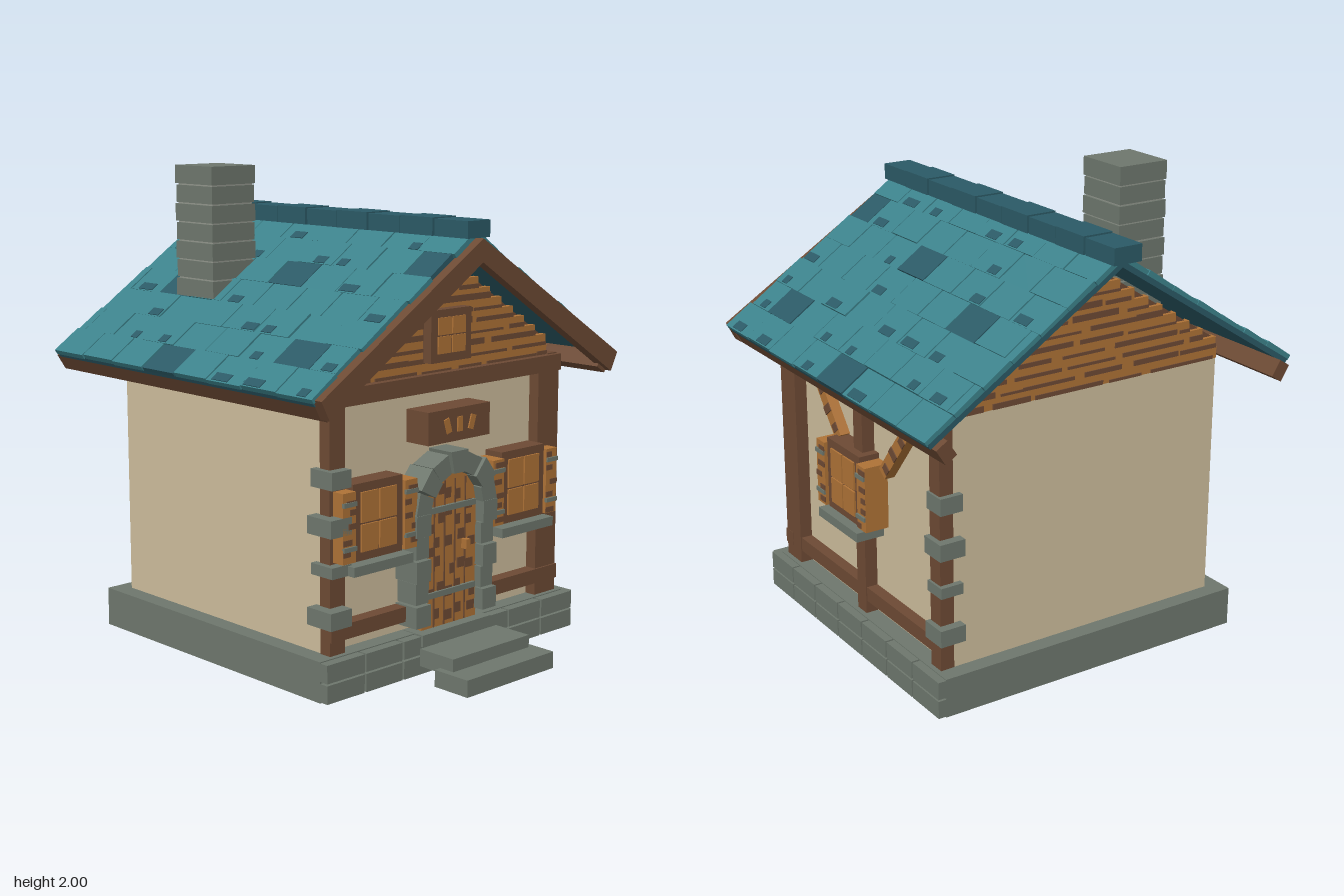
import * as THREE from 'three';

const mat = (name, color, extra = {}) => Object.assign(new THREE.MeshStandardMaterial({ color, ...extra }), { name });

export function createModel() {
  const M = {
    plaster: mat('cream plaster', 0xcdbd9c),
    stone: mat('grey stone', 0x6e776d),
    timber: mat('dark timber', 0x6d4a34),
    plank: mat('orange plank', 0xae7236),
    tile: mat('teal tile', 0x3c828b),
    darkTile: mat('dark teal tile', 0x2b5a66),
    mortar: mat('pale mortar', 0x92968d),
  };
  let seed = 11;
  const rnd = () => (seed = (seed * 16807) % 2147483647) / 2147483647;

  const model = new THREE.Group();
  const group = (name, parent = model) => {
    const g = new THREE.Group();
    g.name = name;
    parent.add(g);
    return g;
  };
  // box given by its min and max on each axis
  const box = (p, name, m, x0, x1, y0, y1, z0, z1) => {
    const b = new THREE.Mesh(new THREE.BoxGeometry(x1 - x0, y1 - y0, z1 - z0), m);
    b.position.set((x0 + x1) / 2, (y0 + y1) / 2, (z0 + z1) / 2);
    b.name = name;
    p.add(b);
    return b;
  };
  const extrude = (p, name, m, pts, z0, z1) => {
    const g = new THREE.ExtrudeGeometry(Array.isArray(pts) ? new THREE.Shape(pts.map(a => new THREE.Vector2(...a))) : pts,
      { depth: z1 - z0, bevelEnabled: false, curveSegments: 12 });
    const e = new THREE.Mesh(g.translate(0, 0, z0), m);
    e.name = name;
    p.add(e);
    return e;
  };
  // thin dark grain patches on a plank front
  const grain = (p, x0, x1, y0, y1, z, n) => {
    for (let i = 0; i < n; i++) {
      const h = (y1 - y0) / n, w = (x1 - x0) * (0.45 + rnd() * 0.35);
      const a = rnd() < 0.5 ? x0 : x1 - w, b = y0 + h * (i + rnd() * 0.5);
      box(p, 'woodGrain', M.timber, a, a + w, b, b + h * 0.42, z, z + 0.004);
    }
  };

  // Foundation: plain slab, with two brick courses on front and right
  const base = group('foundation');
  box(base, 'foundationSlab', M.stone, -0.71, 0.71, 0, 0.165, -0.78, 0.59);
  for (let r = 0; r < 2; r++) {
    const y0 = 0.005 + r * 0.082, y1 = y0 + 0.074;
    for (let i = 0; i < 7; i++) {
      const x = -0.71 + i * 0.2078;
      box(base, 'frontBrick', M.stone, x, x + 0.198, y0, y1, 0.59, 0.63);
      const z = -0.78 + i * 0.2014;
      box(base, 'sideBrick', M.stone, 0.71, 0.745, y0, y1, z, z + 0.192);
    }
  }
  const steps = group('steps');
  box(steps, 'lowerStep', M.stone, -0.255, 0.255, 0, 0.07, 0.76, 0.935);
  box(steps, 'upperStep', M.stone, -0.225, 0.225, 0.05, 0.122, 0.65, 0.83);
  box(steps, 'doorstep', M.stone, -0.2, 0.2, 0.12, 0.168, 0.53, 0.64);

  // Walls with the gable core above
  box(model, 'walls', M.plaster, -0.635, 0.635, 0.165, 1.2, -0.71, 0.52);
  extrude(model, 'gableCore', M.timber, [[-0.635, 1.19], [0.635, 1.19], [0.635, 1.28], [0, 1.69], [-0.635, 1.28]], -0.7, 0.52);

  // Timber frame on the front and right
  const frame = group('timberFrame');
  for (const x of [-0.64, 0.56]) box(frame, 'frontPost', M.timber, x, x + 0.08, 0.165, 1.14, 0.515, 0.57);
  for (const [a, b] of [[0.445, 0.57], [-0.13, -0.06], [-0.712, -0.64]])
    box(frame, 'sidePost', M.timber, 0.63, 0.69, 0.165, 1.17, a, b);
  box(frame, 'frontLowerBeam', M.timber, -0.64, 0.692, 0.22, 0.282, 0.515, 0.578);
  box(frame, 'sideLowerBeam', M.timber, 0.63, 0.685, 0.22, 0.282, -0.7, 0.56);
  box(frame, 'frontUpperBeam', M.timber, -0.67, 0.692, 1.135, 1.205, 0.515, 0.58);
  box(frame, 'sideUpperBeam', M.timber, 0.63, 0.685, 1.135, 1.21, -0.71, 0.56);

  // Diagonal braces on the right wall
  for (const [z0, y0, z1, y1] of [[0.31, 1.14, 0.09, 0.87], [-0.51, 1.14, -0.265, 0.835]]) {
    const len = Math.hypot(z1 - z0, y1 - y0), g = group('brace');
    g.position.set(0.635, (y0 + y1) / 2, (z0 + z1) / 2);
    g.rotation.x = Math.atan2(z0 - z1, y0 - y1);
    box(g, 'bracePlank', M.plank, 0, 0.045, -len / 2, len / 2, -0.027, 0.027);
    for (let i = 0; i < 4; i++) {
      const y = -len / 2 + len * (i + 0.3) / 4;
      box(g, 'woodGrain', M.timber, 0.045, 0.049, y, y + 0.035, -0.027, i % 2 ? 0.027 : 0.012);
    }
  }

  // Stepped gable planks, front and back
  const gable = (name, z) => {
    const g = group(name);
    for (let i = 0; i < 10; i++) {
      const y = 1.2 + i * 0.046, w = Math.min(0.635, (1.675 - y - 0.02) / 0.65);
      box(g, 'gablePlank', M.plank, -w, w, y, y + 0.046, z, z + 0.03);
      for (let x = -w; x < w - 0.03;) {
        const e = Math.min(w, x + 0.1 + rnd() * 0.25), h = 0.01 + rnd() * 0.016;
        box(g, 'woodGrain', M.timber, x, e, y, y + h, z + 0.03, z + 0.034);
        x = e + rnd() * 0.06;
      }
    }
    return g;
  };
  gable('frontGable', 0.515);
  gable('backGable', 0.685).rotation.y = Math.PI;

  // Small gable window and fan plaque
  const attic = group('atticWindow');
  box(attic, 'atticFrame', M.timber, -0.115, 0.115, 1.25, 1.46, 0.53, 0.59);
  for (const x of [-0.078, 0.004]) for (const y of [1.285, 1.36])
    box(attic, 'atticPane', M.plank, x, x + 0.074, y, y + 0.069, 0.59, 0.596);
  const plaque = group('plaque');
  box(plaque, 'plaqueBoard', M.timber, -0.178, 0.178, 0.937, 1.07, 0.52, 0.64);
  for (const i of [-1, 0, 1]) {
    const s = box(plaque, 'plaqueSlat', M.plank, -0.014, 0.014, -0.03, 0.03, 0, 0.006);
    s.position.set(i * 0.07, 1.004, 0.643);
    s.rotation.z = -i * 0.3;
  }

  // Shuttered windows, facing local +z from the wall
  const shutteredWindow = (x, y, z, ry) => {
    const g = group('window');
    g.position.set(x, y, z);
    g.rotation.y = ry;
    box(g, 'windowFrame', M.timber, -0.133, 0.133, -0.153, 0.153, -0.01, 0.09);
    for (const a of [-0.095, 0.004]) for (const [b, c] of [[-0.118, -0.01], [-0.002, 0.118]])
      box(g, 'windowPane', M.plank, a, a + 0.091, b, c, 0.09, 0.098);
    for (const s of [-1, 1]) {
      const a = s < 0 ? -0.2 : 0.133;
      box(g, 'shutter', M.plank, a, a + 0.067, -0.148, 0.13, 0, 0.105);
      grain(g, a, a + 0.067, -0.145, 0.125, 0.105, 5);
      for (const h of [-0.1, 0.075]) box(g, 'hinge', M.stone, a, a + 0.067, h, h + 0.018, 0.1, 0.113);
    }
    box(g, 'windowSill', M.stone, -0.16, 0.16, -0.2, -0.161, -0.01, 0.125);
  };
  for (const s of [-1, 1]) shutteredWindow(s * 0.4225, 0.685, 0.52, 0);
  shutteredWindow(0.635, 0.727, -0.032, Math.PI / 2);

  // Arched door
  const door = group('door'), cy = 0.655;
  const leaf = new THREE.Shape();
  leaf.moveTo(-0.16, 0.165).lineTo(0.16, 0.165).lineTo(0.16, cy);
  leaf.absarc(0, cy, 0.16, 0, Math.PI, false);
  extrude(door, 'doorLeaf', M.plank, leaf, 0.515, 0.592);
  for (let i = 0; i < 5; i++) {
    const x = -0.15 + i * 0.06;
    grain(door, x, x + 0.056, 0.17, i % 4 ? 0.78 : 0.71, 0.592, 6);
    if (i) box(door, 'doorGroove', M.timber, x - 0.005, x, 0.17, 0.77, 0.592, 0.597);
  }
  for (const y of [0.295, 0.645]) box(door, 'doorStrap', M.stone, -0.145, 0.14, y, y + 0.024, 0.59, 0.606);
  box(door, 'doorHandle', M.plank, 0.07, 0.095, 0.47, 0.51, 0.59, 0.62);

  // Stone surround: jamb blocks and arch wedges
  const arch = group('doorSurround');
  for (const s of [-1, 1]) for (let i = 0; i < 5; i++) {
    const y = 0.2 + i * 0.093, w = i % 2 ? 0.225 : 0.235, a = s * 0.153, b = s * w;
    box(arch, 'jambStone', M.stone, Math.min(a, b), Math.max(a, b), y, y + 0.088, 0.515, i % 2 ? 0.625 : 0.638);
  }
  for (let i = 0; i < 7; i++) {
    const t0 = Math.PI * (i + 0.04) / 7, t1 = Math.PI * (i + 0.96) / 7, R = i % 2 ? 0.245 : 0.235;
    const at = (r, t) => [r * Math.cos(t), cy + r * Math.sin(t)];
    extrude(arch, 'archStone', M.stone, [at(0.153, t0), at(R, t0), at(R, t1), at(0.153, t1)], 0.515, i % 2 ? 0.645 : 0.635);
  }

  // Corner stones at front left and back right
  const quoins = group('cornerStones');
  [[0.83, 0.9, 0], [0.65, 0.72, 1], [0.485, 0.53, 0], [0.288, 0.358, 1]].forEach(([a, b, k]) => {
    box(quoins, 'frontLeftStone', M.stone, -0.665 - k * 0.02, -0.565 - k * 0.01, a, b, 0.49, 0.61 + k * 0.015);
    box(quoins, 'backRightStone', M.stone, 0.6, 0.7 + k * 0.012, a, b, -0.735 - k * 0.015, -0.635);
  });

  // Roof: two tiled slopes
  const roof = group('roof'), slope = Math.atan2(0.55, 0.86), pitch = 0.1462;
  const darkTiles = ['0,3', '1,6', '3,1', '4,4', '5,7'];
  for (const s of [-1, 1]) {
    const g = group('roofSlope', roof);
    g.position.set(0, 1.762, 0);
    g.rotation.z = -s * slope;
    const bx = (name, m, a, b, y0, y1, z0, z1) => box(g, name, m, Math.min(s * a, s * b), Math.max(s * a, s * b), y0, y1, z0, z1);
    bx('roofDeck', M.darkTile, 0, 1.018, -0.03, -0.008, -0.9, 0.71);
    for (let r = 0; r < 7; r++) {
      const end = 1.024 - r * pitch, shift = r % 2 ? 0.047 : 0;
      for (let k = r % 2 ? -1 : 0; k < 8; k++) {
        const z0 = Math.max(-0.9, -0.9 + k * 0.203 + shift), z1 = Math.min(0.73 - (r % 2) * 0.02, -0.905 + (k + 1) * 0.203 + shift);
        const dark = darkTiles.includes(r + ',' + k), lift = rnd() * 0.006;
        const t = bx('roofTile', dark ? M.darkTile : M.tile, Math.max(0, end - pitch), end - rnd() * 0.006, -0.01, 0.008 + lift, z0, z1);
        t.rotation.z = -s * 0.03;
        // worn dark patch on some tiles
        if (!dark && rnd() < 0.4 && z1 - z0 > 0.1) {
          const w = 0.04 + rnd() * 0.06, a = z0 + rnd() * (z1 - z0 - w);
          const p = box(t, 'wornPatch', M.darkTile, -0.02, 0.02, 0, 0.003, 0, w);
          p.position.set(s * 0.045, 0.0105 + lift / 2, a + w / 2 - (z0 + z1) / 2);
        }
      }
    }
    // beam along the eave
    bx('eaveBeam', M.timber, 0.955, 1.012, -0.104, -0.03, -0.93, 0.73);
  }
  extrude(roof, 'frontRafters', M.timber, [[-0.85, 1.215], [-0.81, 1.138], [0, 1.655], [0.81, 1.138], [0.85, 1.215], [0, 1.748]], 0.705, 0.755);
  for (let i = 0; i < 9; i++) {
    const z = -0.93 + i * 0.1855, d = (i % 2) * 0.004;
    box(roof, 'ridgeCap', M.darkTile, -0.064 - d, 0.064 + d, 1.748, 1.816 + d, z, z + 0.177);
  }

  // Chimney of stacked stone courses around a mortar core
  const chimney = group('chimney');
  box(chimney, 'chimneyCore', M.mortar, -0.484, -0.271, 1.4, 1.98, -0.524, -0.301);
  for (let i = 0; i < 8; i++) {
    const y = 1.38 + i * 0.0778, d = (i % 2) * 0.003;
    box(chimney, 'chimneyCourse', M.stone, -0.49 - d, -0.265 + d, y, y + 0.0715 + (i === 7 ? 0.004 : 0), -0.53 - d, -0.295 + d);
  }
  return model;
}
